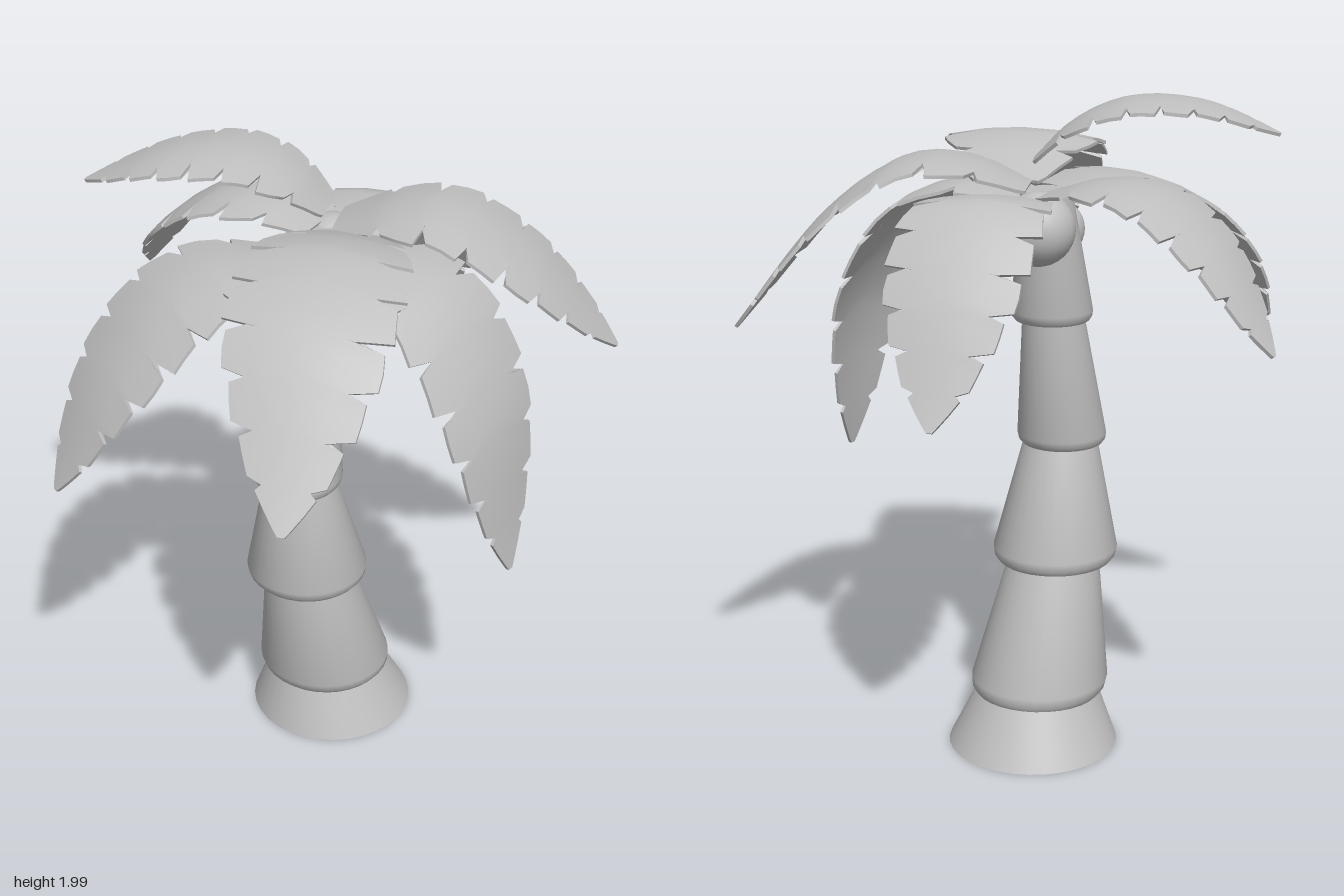
import * as THREE from 'three';
import { toCreasedNormals } from 'three/addons/utils/BufferGeometryUtils.js';

const grey = new THREE.MeshStandardMaterial({ color: 0xc0c0c0 });
grey.name = 'plain grey';
const V = (p) => new THREE.Vector3(...p);
const UP = new THREE.Vector3(0, 1, 0);

function add(group, geometry, name) {
  const mesh = new THREE.Mesh(geometry, grey);
  mesh.name = name;
  group.add(mesh);
  return mesh;
}

// Trunk section: lathe profile sheared from its lower centre to its upper centre
function trunkSection([y0, x0, z0, r0, bevel], [y1, x1, z1, r1]) {
  const profile = [[0, y0]];
  if (bevel) profile.push([r0 * 0.91, y0], [r0 * 0.98, y0 + bevel * 0.4], [r0, y0 + bevel]);
  else profile.push([r0, y0]);
  profile.push([r1, y1], [0, y1]);
  const geo = new THREE.LatheGeometry(profile.map(([r, y]) => new THREE.Vector2(r, y)), 32);
  const pos = geo.attributes.position;
  for (let i = 0; i < pos.count; i++) {
    const k = (pos.getY(i) - y0) / (y1 - y0);
    pos.setX(i, pos.getX(i) + x0 + (x1 - x0) * k);
    pos.setZ(i, pos.getZ(i) + z0 + (z1 - z0) * k);
  }
  return toCreasedNormals(geo, 0.7);
}

// Half width of a frond along its length, as a share of the widest point
const outline = [[0, 0.45], [0.2, 0.92], [0.38, 1], [0.55, 0.95], [0.72, 0.72], [0.88, 0.4], [1, 0.04]];
function widthAt(t) {
  const i = Math.max(1, outline.findIndex(([end]) => t <= end));
  const [a, wa] = outline[i - 1], [b, wb] = outline[i];
  return wa + (wb - wa) * (t - a) / (b - a);
}

// Frond: a thin, arched leaf with a notched edge, bent along a spine;
// heading is the level direction [x, z] its blade is square to
function frond(points, halfWidth, heading) {
  const curve = new THREE.CatmullRomCurve3(points.map(V));
  const side = new THREE.Vector3(heading[0], 0, heading[1]).normalize().cross(UP);
  const thick = 0.01, leaflets = 8;

  // Rows: [position along spine, edge width factor]
  const rows = [[0, 0.9]];
  for (let i = 0; i < leaflets; i++) {
    const a = i / leaflets, b = (i + 1) / leaflets, d = 0.13 / leaflets;
    rows.push([a + d, 0.97], [(a + b) / 2, 1.01], [b - d, 1.05]);
    if (i < leaflets - 1) rows.push([b, i % 2 ? 0.6 : 0.7]);
  }
  rows.push([1, 1]);

  const cols = [-1, -0.5, 0, 0.5, 1];
  const n = cols.length, top = [], bottom = [];
  for (const [t, f] of rows) {
    for (const c of cols) {
      const w = c * halfWidth * widthAt(t) * (Math.abs(c) === 1 ? f : 1);
      const s = t + 0.16 * Math.abs(c) * t * (1 - t);
      const normal = side.clone().cross(curve.getTangentAt(s)).normalize();
      const p = curve.getPointAt(s).addScaledVector(side, w)
        .addScaledVector(normal, -0.12 * w * w / halfWidth);
      top.push(...p.toArray());
      bottom.push(...p.addScaledVector(normal, -thick).toArray());
    }
  }
  const index = [], m = rows.length * n;
  const quad = (a, b, c, d) => index.push(a, b, c, a, c, d);
  for (let i = 0; i < rows.length - 1; i++) {
    for (let j = 0; j < n - 1; j++) {
      const a = i * n + j, b = a + 1, c = b + n, d = a + n;
      quad(a, b, c, d);
      quad(m + d, m + c, m + b, m + a);
    }
    const l = i * n, r = l + n - 1;
    quad(l, l + n, m + l + n, m + l);
    quad(r + n, r, m + r, m + r + n);
  }
  // Closing strips at the stem and the tip
  const e = (rows.length - 1) * n;
  for (let j = 0; j < n - 1; j++) {
    quad(j + 1, j, m + j, m + j + 1);
    quad(e + j, e + j + 1, m + e + j + 1, m + e + j);
  }
  const geo = new THREE.BufferGeometry();
  geo.setAttribute('position', new THREE.Float32BufferAttribute([...top, ...bottom], 3));
  geo.setIndex(index);
  return toCreasedNormals(geo, 0.6);
}

export function createModel() {
  const tree = new THREE.Group();
  tree.name = 'palmTree';

  // Curved trunk of stacked tapering sections: [y, x, z, radius, bevel]
  const trunk = new THREE.Group();
  trunk.name = 'trunk';
  tree.add(trunk);
  [
    [[0, -0.03, -0.165, 0.26, 0], [0.17, -0.04, -0.145, 0.185]],
    [[0.16, -0.04, -0.14, 0.21, 0.045], [0.58, -0.072, -0.06, 0.137]],
    [[0.565, -0.072, -0.055, 0.19, 0.04], [0.945, -0.08, -0.012, 0.11]],
    [[0.93, -0.085, -0.012, 0.135, 0.03], [1.34, -0.068, -0.065, 0.092]],
    [[1.325, -0.066, -0.068, 0.122, 0.03], [1.72, -0.06, -0.12, 0.075]],
  ].forEach(([low, high], i) => add(trunk, trunkSection(low, high), i ? 'trunkSection' : 'trunkBase'));

  // Coconuts under the crown
  [[-0.065, 1.63, -0.24, 0.108], [0.04, 1.62, -0.01, 0.08], [-0.065, 1.59, -0.04, 0.09]]
    .forEach(([x, y, z, r]) => add(tree, new THREE.SphereGeometry(r, 24, 16), 'coconut').position.set(x, y, z));

  // Crown of fronds: spine points, half width, heading
  const crown = new THREE.Group();
  crown.name = 'crown';
  tree.add(crown);
  const fronds = {
    frontFrond: [[[0.06, 1.75, -0.13], [0.08, 1.83, 0.08], [0.1, 1.84, 0.24], [0.13, 1.75, 0.48], [0.2, 1.33, 0.83]], 0.24, [0.05, 1]],
    backFrond: [[[0, 1.7, -0.17], [0.04, 1.74, -0.33], [0.06, 1.73, -0.47], [0.08, 1.55, -0.65], [0.09, 1.19, -0.83]], 0.205, [0.05, -1]],
    backLeftFrond: [[[-0.03, 1.75, -0.2], [0.16, 1.82, -0.21], [0.33, 1.82, -0.23], [0.54, 1.68, -0.3], [0.78, 1.35, -0.46]], 0.215, [1, -0.12]],
    leftFrond: [[[0, 1.7, -0.09], [0.2, 1.73, -0.03], [0.38, 1.66, 0.03], [0.55, 1.38, 0.07], [0.63, 0.84, 0.08]], 0.22, [1, 0.28]],
    frontRightFrond: [[[-0.07, 1.71, 0], [-0.22, 1.74, 0.15], [-0.36, 1.67, 0.28], [-0.5, 1.46, 0.43], [-0.61, 1.13, 0.57]], 0.225, [-0.65, 0.76]],
    backRightFrond: [[[-0.08, 1.73, -0.2], [-0.25, 1.78, -0.25], [-0.42, 1.76, -0.29], [-0.6, 1.63, -0.35], [-0.78, 1.36, -0.46]], 0.21, [-1, -0.2]],
    topFrond: [[[-0.03, 1.82, -0.14], [-0.13, 1.92, -0.11], [-0.28, 1.985, -0.07], [-0.48, 1.975, 0], [-0.71, 1.88, 0.07]], 0.18, [-1, 0.12]],
  };
  for (const [name, spec] of Object.entries(fronds)) add(crown, frond(...spec), name);
  return tree;
}
